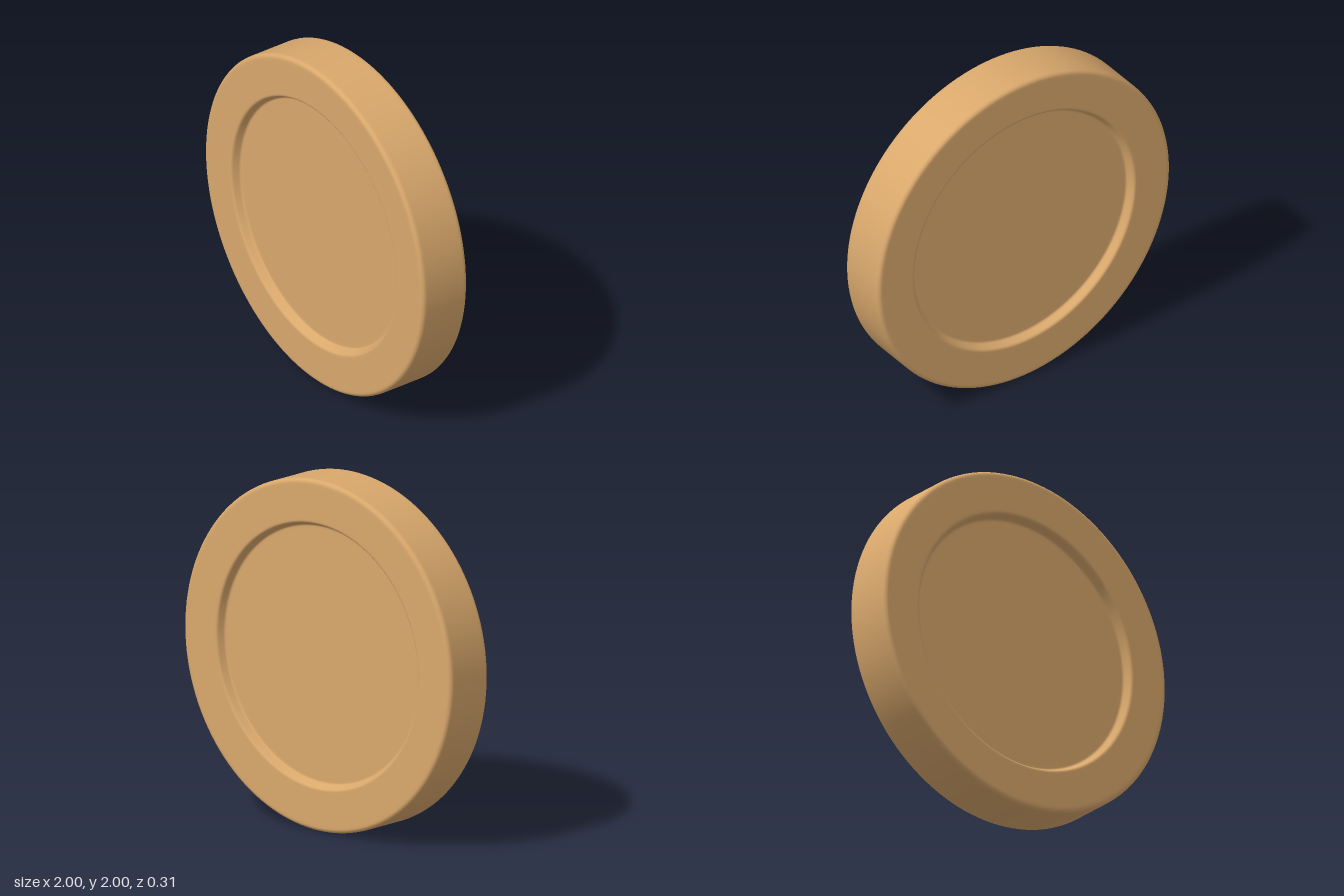
import * as THREE from 'three';

const RADIUS = 1, HALF = 0.155, FLOOR = 0.105;

// Adds a quarter-round fillet, with support points that keep the flats flat.
function fillet(points, cx, cy, r, from, to, steps = 5) {
  for (let i = 0; i <= steps; i++) {
    const a = THREE.MathUtils.degToRad(from + ((to - from) * i) / steps);
    points.push(new THREE.Vector2(cx + r * Math.cos(a), cy + r * Math.sin(a)));
  }
}

// Half profile from the outer wall to the centre of one face.
function faceProfile() {
  const p = [new THREE.Vector2(RADIUS, HALF - 0.035)];
  fillet(p, RADIUS - 0.025, HALF - 0.025, 0.025, 0, 90); // outer edge
  p.push(new THREE.Vector2(0.96, HALF), new THREE.Vector2(0.775, HALF));
  fillet(p, 0.765, HALF - 0.018, 0.018, 90, 170); // rim lip
  fillet(p, 0.723, FLOOR + 0.015, 0.015, -10, -90); // foot of the recess
  p.push(new THREE.Vector2(0.71, FLOOR), new THREE.Vector2(0, FLOOR));
  return p;
}

export function createModel() {
  const group = new THREE.Group();
  group.name = 'recessedDisc';

  // The back face mirrors the front one.
  const front = faceProfile();
  const back = front.map((v) => new THREE.Vector2(v.x, -v.y)).reverse();

  const geometry = new THREE.LatheGeometry([...back, ...front], 128);
  geometry.rotateX(Math.PI / 2);

  const disc = new THREE.Mesh(geometry, new THREE.MeshStandardMaterial({ color: 0xd9a86c }));
  disc.name = 'disc';
  disc.position.y = RADIUS;
  group.add(disc);
  return group;
}
